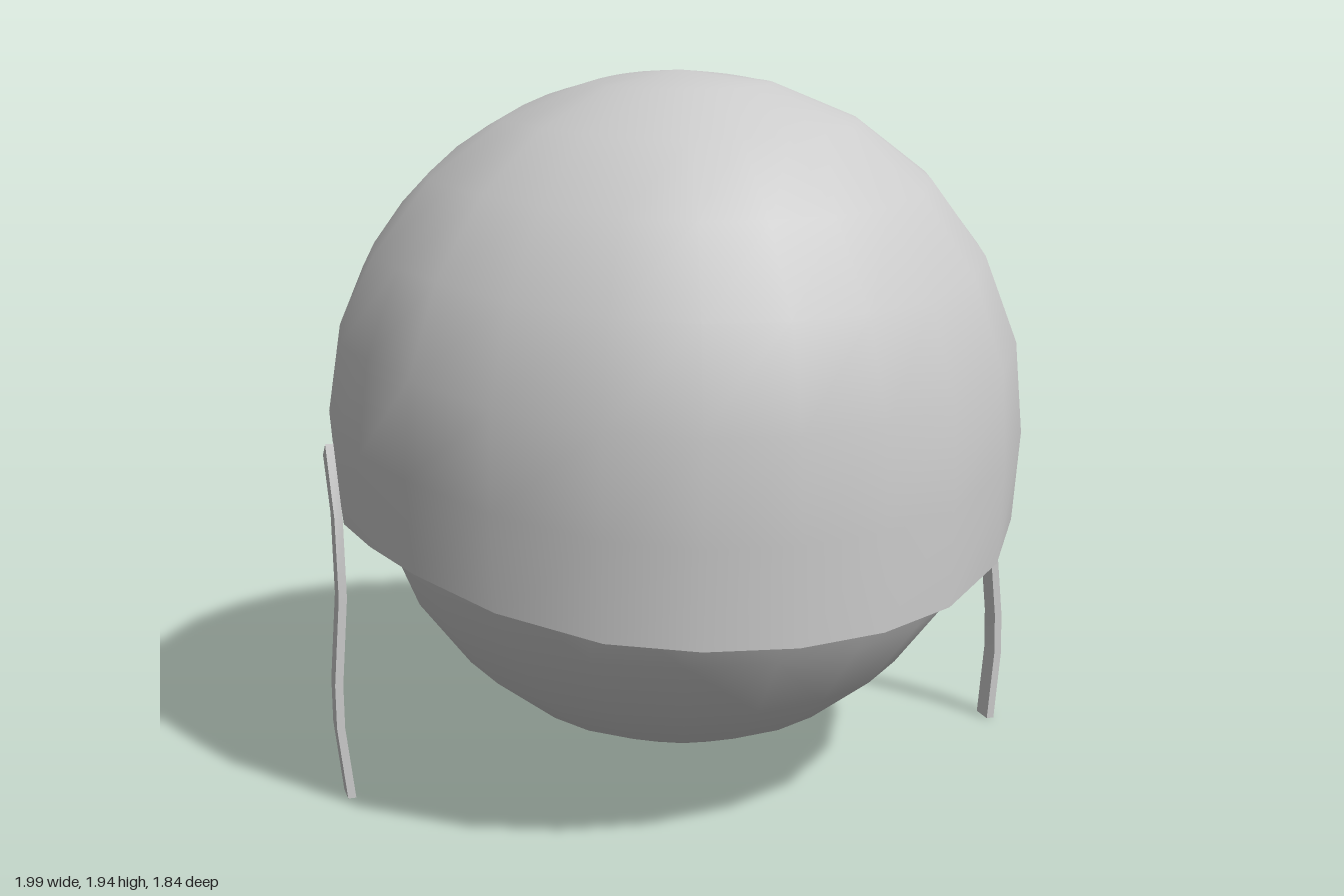
import * as THREE from 'three';
import { mergeVertices } from 'three/addons/utils/BufferGeometryUtils.js';
import { RoundedBoxGeometry } from 'three/addons/geometries/RoundedBoxGeometry.js';

const grey = () => new THREE.MeshStandardMaterial({ color: 0xcccccc });

function addMesh(parent, name, geometry) {
  const mesh = new THREE.Mesh(geometry, grey());
  mesh.name = name;
  parent.add(mesh);
  return mesh;
}

// Rim of the helmet: [degrees round from the front, height]
const RIM = [
  [0, 0.6], [15, 0.605], [30, 0.62], [48, 0.665], [65, 0.715], [78, 0.74], [93, 0.74], [102.6, 0.78],
  [110, 0.99], [117.6, 1.2], [126, 1.32], [134, 1.43], [148, 1.55], [164, 1.61], [180, 1.62],
];
const COLUMNS = [...RIM, ...RIM.slice(1, -1).reverse().map(([a, y]) => [360 - a, y])];
const ROWS = 7;
const CENTRE = 1.0;
const DOME = 0.94;
const INNER = 0.945;

// Point on the helmet: a dome above its centre, nearly upright walls below
function helmetPoint([deg, rimY], t, scale) {
  const phi = THREE.MathUtils.degToRad(deg);
  const c = Math.cos(phi);
  const theta = Math.acos((rimY - CENTRE) / DOME) * t;
  const radius = 0.965 + (c > 0 ? -0.047 * c : -0.015 * c);
  const below = Math.max(0, -Math.cos(theta));
  const wall = theta < Math.PI / 2 ? Math.sin(theta) : 1 - 0.09 * below * Math.sin(phi) ** 2;
  const h = radius * wall * scale;
  return [h * Math.sin(phi), CENTRE + DOME * Math.cos(theta) * scale, h * c];
}

// Closed strip surface from rows of points, each row running round the helmet
function loopSurface(rows) {
  const n = rows[0].length;
  const index = [];
  for (let r = 0; r < rows.length - 1; r++) {
    for (let c = 0; c < n; c++) {
      const a = r * n + c, b = r * n + (c + 1) % n;
      index.push(a, a + n, b, b, a + n, b + n);
    }
  }
  let geo = new THREE.BufferGeometry();
  geo.setAttribute('position', new THREE.Float32BufferAttribute(rows.flat(2), 3));
  geo.setIndex(index);
  geo = mergeVertices(geo, 1e-5);
  geo.computeVertexNormals();
  return geo;
}

function buildHelmet() {
  const helmet = new THREE.Group();
  helmet.name = 'helmet';
  const ring = (t, scale) => COLUMNS.map((col) => helmetPoint(col, t, scale));
  const outer = [], inner = [];
  for (let r = 0; r <= ROWS; r++) {
    outer.push(ring(r / ROWS, 1));
    inner.unshift(ring(r / ROWS, INNER));
  }
  addMesh(helmet, 'helmetShell', loopSurface(outer));
  addMesh(helmet, 'helmetLining', loopSurface(inner));
  const rim = addMesh(helmet, 'helmetRim', loopSurface([ring(1, 1), ring(1, INNER)]));
  rim.material.flatShading = true;
  return helmet;
}

// Hanging strap: a flat bar whose sections follow a wavy line
function buildStrap(side) {
  // [x, y, z] from the bottom up
  const path = [
    [0.963, 0, 0.035], [0.985, 0.2, 0.027], [0.985, 0.32, 0.022],
    [0.965, 0.56, 0.012], [0.967, 0.78, 0.002], [0.975, 0.95, -0.05],
  ];
  const geo = new THREE.BoxGeometry(0.022, 1, 0.066, 1, path.length - 1, 1);
  const pos = geo.attributes.position;
  for (let i = 0; i < pos.count; i++) {
    const [x, y, z] = path[Math.round((pos.getY(i) + 0.5) * (path.length - 1))];
    const slant = y > 0.9 ? pos.getZ(i) * 0.6 : 0;
    pos.setXYZ(i, pos.getX(i) + side * x, y + slant, pos.getZ(i) * (y > 0.9 ? 0.7 : 1) + z);
  }
  geo.computeVertexNormals();
  return geo;
}

export function createModel() {
  const model = new THREE.Group();
  model.name = 'helmetedHead';

  // Round head
  const head = addMesh(model, 'head', new THREE.SphereGeometry(0.87, 20, 12));
  head.position.set(0, 0.95, 0.02);

  model.add(buildHelmet());

  for (const side of [-1, 1]) {
    const label = side > 0 ? 'left' : 'right';
    addMesh(model, label + 'Strap', buildStrap(side));

    // Padded roll tucked under the back of the helmet
    const roll = addMesh(model, label + 'BackRoll', new RoundedBoxGeometry(0.325, 0.68, 0.18, 5, 0.088));
    roll.position.set(side * 0.168 - 0.01, 1.28, -0.735);
    roll.rotation.x = 0.4;
  }
  return model;
}
